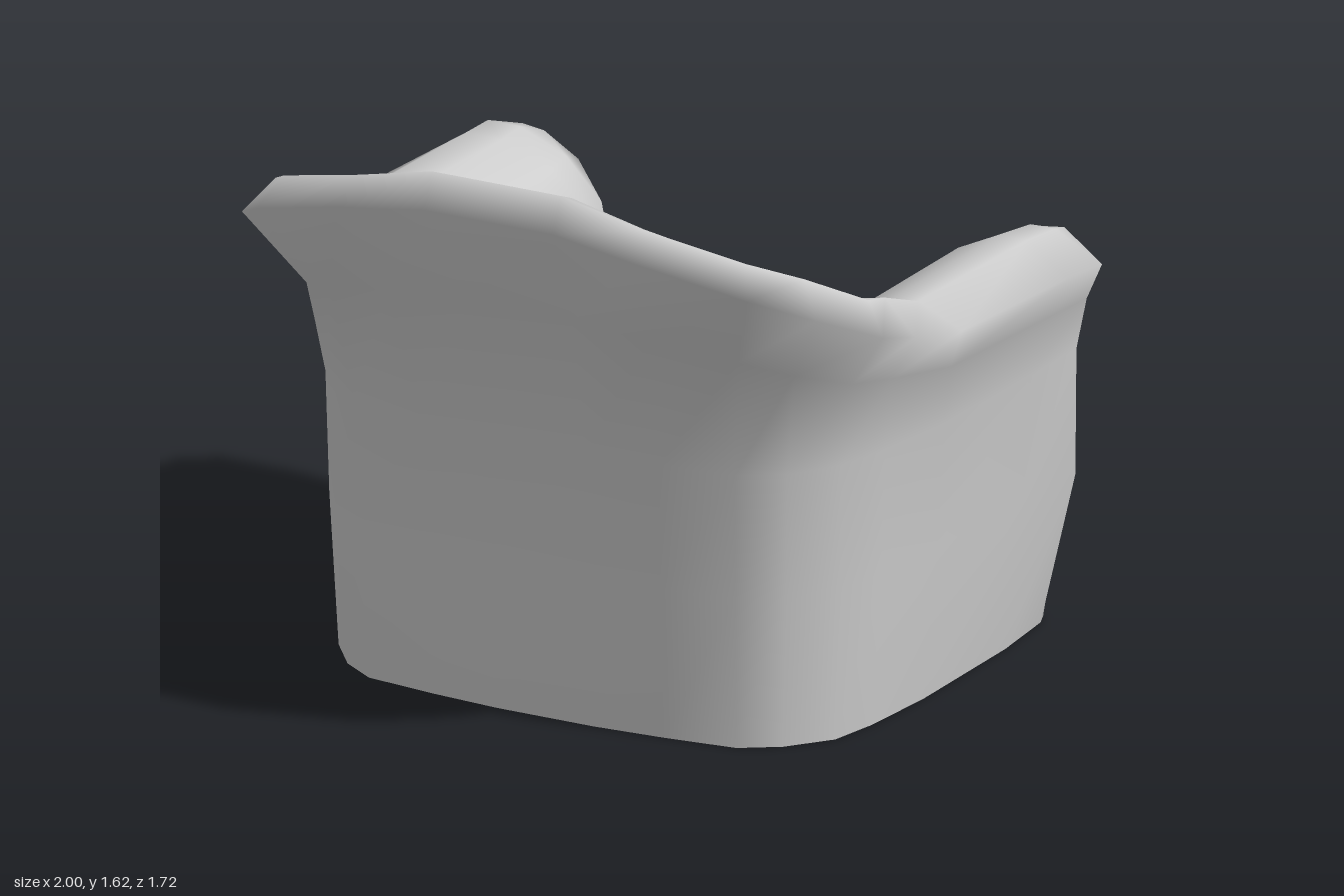
import * as THREE from 'three';

const mat = new THREE.MeshStandardMaterial({ color: 0xcccccc, side: THREE.DoubleSide });
const lerp = THREE.MathUtils.lerp;

// Skin a list of rows (equal-length lists of [x, y, z]) as one smooth surface
function loft(name, rows, capEnds = false) {
  const n = rows[0].length, idx = [];
  for (let j = 0; j < rows.length - 1; j++) {
    for (let k = 0; k < n - 1; k++) {
      const a = j * n + k, b = a + n;
      idx.push(a, a + 1, b, a + 1, b + 1, b);
    }
  }
  if (capEnds) {
    // Bridge each end row across itself, outer side to inner side
    const last = (rows.length - 1) * n;
    for (let k = 0; k < (n - 1) / 2; k++) {
      const m = n - 1 - k;
      idx.push(k, m, k + 1, last + k, last + k + 1, last + m);
      if (m - 1 > k + 1) idx.push(m, m - 1, k + 1, last + m, last + k + 1, last + m - 1);
    }
  }
  const g = new THREE.BufferGeometry();
  g.setAttribute('position', new THREE.Float32BufferAttribute(rows.flat(2), 3));
  g.setIndex(idx);
  g.computeVertexNormals();
  const mesh = new THREE.Mesh(g, mat);
  mesh.name = name;
  return mesh;
}

// Stations from the front of one arm to the middle of the back:
// floor x,z | waist x,z | rim x,z,y | crest x,z,y | seat line x,z
const stations = [
  [0.80, -0.78, 0.90, -0.80, 0.985, -0.79, 1.06, 0.88, -0.72, 1.165, 0.52, -0.80],
  [0.82, -0.55, 0.90, -0.55, 1.00, -0.58, 1.09, 0.87, -0.58, 1.175, 0.47, -0.66],
  [0.82, -0.10, 0.88, -0.10, 0.995, 0.00, 1.12, 0.87, 0.02, 1.19, 0.47, 0.00],
  [0.80, 0.15, 0.845, 0.16, 0.99, 0.25, 1.18, 0.88, 0.22, 1.265, 0.46, 0.12],
  [0.77, 0.30, 0.80, 0.32, 0.985, 0.42, 1.23, 0.92, 0.38, 1.315, 0.43, 0.20],
  [0.675, 0.42, 0.71, 0.46, 0.89, 0.62, 1.325, 0.82, 0.56, 1.415, 0.37, 0.27],
  [0.57, 0.49, 0.59, 0.535, 0.76, 0.77, 1.405, 0.715, 0.70, 1.485, 0.29, 0.30],
  [0.36, 0.515, 0.37, 0.56, 0.46, 0.86, 1.49, 0.445, 0.78, 1.56, 0.20, 0.325],
  [0.15, 0.53, 0.15, 0.575, 0.20, 0.84, 1.52, 0.20, 0.80, 1.62, 0.10, 0.325],
];

// Cross-section: up the outside, over the rolled rim, down the inside
function section([ox, oz, mx, mz, rx, rz, ry, cx, cz, cy, ix, iz], j) {
  const waistY = 0.8, seatY = 0.8 + 0.1 * iz;
  const full = [1, 1, 0.5][j] ?? 0;               // fuller padding on the arms
  const flare = j >= 3 && j <= 6 ? 0.25 : 0.4;    // tighter tuck under the rear corners
  const inner = (t, drop) => [lerp(cx, ix, t), lerp(cy, seatY, drop), lerp(cz, iz, t)];
  return [
    [ox, 0, oz],
    [lerp(ox, mx, j === 0 ? 1 : 0.7), 0.44, lerp(oz, mz, 0.7)],
    [mx, waistY, mz],
    [lerp(mx, rx, flare), lerp(waistY, ry, 0.58), lerp(mz, rz, flare)],
    [rx, ry, rz],
    [cx, cy, cz],
    inner(lerp(0.2, 0.25, full), lerp(0.05, 0.02, full)),
    inner(lerp(0.45, 0.6, full), 0.18),
    inner(lerp(0.82, 0.87, full), lerp(0.55, 0.45, full)),
    [ix, seatY, iz],
    j === 0 ? [0.55, 0, iz] : [ix, seatY - 0.02, iz],
  ];
}

export function createModel() {
  const group = new THREE.Group();
  group.name = 'armchair';

  // Wraparound arms and back, with the front of each arm drawn in and closed
  const half = stations.map(section);
  const front = half[0].map(([x, y, z]) => [
    lerp(x, 0.72, 0.25),
    y > 0.85 ? y - 0.04 : y,
    y > 1.1 ? -0.84 : y > 0.98 ? -0.86 : -0.83,
  ]);
  half.unshift(front);
  const mirrored = half.map(row => row.map(([x, y, z]) => [-x, y, z])).reverse();
  group.add(loft('armsAndBack', [...half, ...mirrored], true));

  // Seat cushion and front panel, drawn as [y, z] profiles across the width
  const across = (name, profile, w) =>
    group.add(loft(name, [-w, w].map(x => profile.map(([y, z]) => [x, y, z]))));
  across('seatCushion', [
    [0.60, -0.79], [0.62, -0.812], [0.68, -0.822], [0.73, -0.81],
    [0.755, -0.76], [0.765, -0.6], [0.80, -0.1], [0.84, 0.36],
  ], 0.56);
  across('frontPanel', [[0, -0.8], [0.62, -0.8]], 0.56);

  return group;
}
